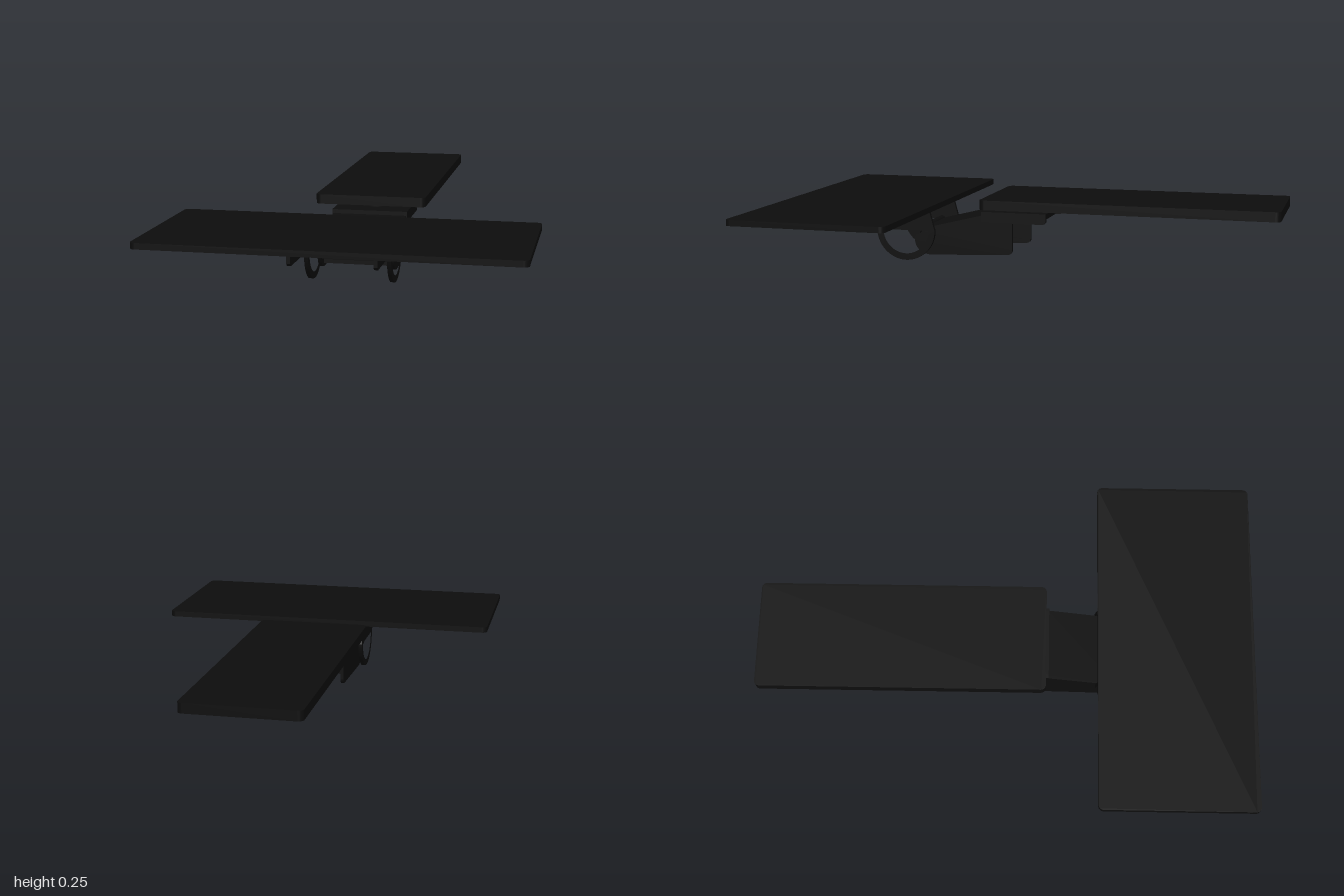
import * as THREE from 'three';

const black = new THREE.MeshStandardMaterial({ color: 0x0d0d0d });
black.name = 'black';

function add(parent, name, geometry, x = 0, y = 0, z = 0) {
  const mesh = new THREE.Mesh(geometry, black);
  mesh.name = name;
  mesh.position.set(x, y, z);
  parent.add(mesh);
  return mesh;
}

// Flat board with rounded corners; its underside sits at y = 0
function board(w, d, h, r) {
  const a = w / 2, b = d / 2;
  const s = new THREE.Shape();
  s.moveTo(-a + r, -b);
  s.lineTo(a - r, -b);
  s.absarc(a - r, -b + r, r, -Math.PI / 2, 0);
  s.absarc(a - r, b - r, r, 0, Math.PI / 2);
  s.absarc(-a + r, b - r, r, Math.PI / 2, Math.PI);
  s.absarc(-a + r, -b + r, r, Math.PI, Math.PI * 1.5);
  const g = new THREE.ExtrudeGeometry(s, { depth: h, bevelEnabled: false, curveSegments: 6 });
  return g.rotateX(Math.PI / 2).translate(0, h, 0);
}

// Side profile drawn in (z, y), extruded across x and centred on x = 0
function profile(shape, width) {
  const g = new THREE.ExtrudeGeometry(shape, { depth: width, bevelEnabled: false, curveSegments: 20 });
  return g.translate(0, 0, -width / 2).rotateY(-Math.PI / 2);
}

const polygon = (...pts) => new THREE.Shape(pts.map(([z, y]) => new THREE.Vector2(z, y)));

export function createModel() {
  const model = new THREE.Group();
  const tray = new THREE.Group();
  tray.name = 'keyboardTray';
  tray.rotation.y = -0.13;
  tray.position.set(0.079, 0, 0.01);
  model.add(tray);

  // Boards
  add(tray, 'keyboardBoard', board(1.32, 0.6, 0.022, 0.02), 0, 0.19, 0.607);
  add(tray, 'mountingTrack', board(0.42, 1.1, 0.036, 0.02), 0, 0.212, -0.441);

  // Side rail below the keyboard board, with a round pivot loop
  const rail = new THREE.Shape();
  rail.moveTo(0.78, 0.19);
  rail.lineTo(0.78, 0.135);
  rail.lineTo(0.77, 0.125);
  rail.lineTo(0.535, 0.125);
  rail.absarc(0.415, 0.115, 0.115, 0, -Math.PI, true);
  rail.lineTo(0.32, 0.19);
  const slot = new THREE.Path();
  slot.moveTo(0.505, 0.115);
  slot.absarc(0.415, 0.115, 0.09, 0, -Math.PI, true);
  slot.closePath();
  rail.holes.push(slot);

  // Arm cheek, sloping from the pivot up to the swivel bracket
  const cheek = new THREE.Shape();
  cheek.moveTo(0.38, 0.115);
  cheek.lineTo(0.12, 0.18);
  cheek.lineTo(0.0, 0.18);
  cheek.lineTo(0.0, 0.055);
  cheek.quadraticCurveTo(0.0, 0.035, 0.02, 0.035);
  cheek.lineTo(0.32, 0.022);
  cheek.quadraticCurveTo(0.4, 0.03, 0.38, 0.115);

  const flange = polygon([0.12, 0.155], [0.12, 0.195], [-0.13, 0.195], [-0.13, 0.165], [-0.12, 0.155]);

  for (const side of [-1, 1]) {
    add(tray, 'sideRail', profile(rail, 0.014), side * 0.148);
    add(tray, 'armCheek', profile(cheek, 0.012), side * 0.134);
    add(tray, 'bracketFlange', profile(flange, 0.014), side * 0.136);
  }

  // Arm shell: sloping top and lower cross plate, open at the ends
  add(tray, 'armTop', profile(polygon([0.38, 0.1], [0.38, 0.115], [0.12, 0.18], [0.0, 0.18], [0.0, 0.16], [0.11, 0.16]), 0.27));
  add(tray, 'armBottom', profile(polygon([0.33, 0.035], [0.33, 0.05], [0.1, 0.062], [0.1, 0.046]), 0.27));

  // Swivel bracket and its post under the track
  add(tray, 'swivelPlate', new THREE.BoxGeometry(0.27, 0.02, 0.25), 0, 0.185, -0.005);
  add(tray, 'swivelPost', new THREE.CylinderGeometry(0.06, 0.06, 0.02, 24), 0, 0.203, -0.02);

  // Pivot rod and plate joining the rails
  const rod = new THREE.CylinderGeometry(0.014, 0.014, 0.3, 16).rotateZ(Math.PI / 2);
  add(tray, 'pivotRod', rod, 0, 0.115, 0.37);

  return model;
}
